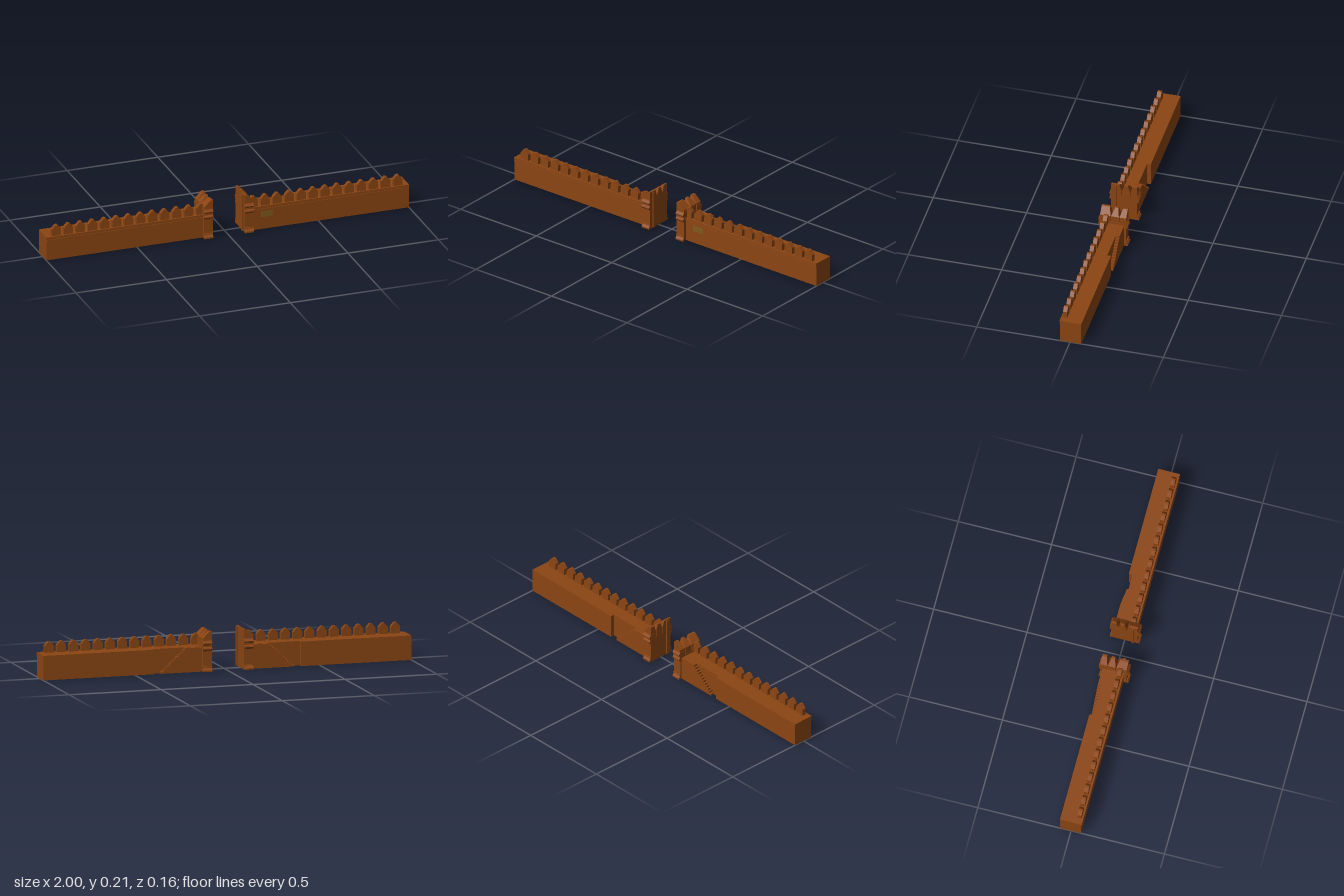
import * as THREE from 'three';

const brick = new THREE.MeshStandardMaterial({ color: 0x8b4513, flatShading: true, side: THREE.DoubleSide });
const bronze = new THREE.MeshStandardMaterial({ color: 0x7f5a1c });

function add(group, name, geometry, material = brick) {
  const mesh = new THREE.Mesh(geometry, material);
  mesh.name = name;
  group.add(mesh);
  return mesh;
}

// Box given by its limits; openBottom drops the face resting on the ground
function block(x0, x1, y0, y1, z0, z1, openBottom = false) {
  const g = new THREE.BoxGeometry(x1 - x0, y1 - y0, z1 - z0);
  g.translate((x0 + x1) / 2, (y0 + y1) / 2, (z0 + z1) / 2);
  if (openBottom) {
    const index = Array.from(g.index.array);
    index.splice(18, 6);
    g.setIndex(index);
    g.clearGroups();
  }
  return g;
}

function extrude(points, depth) {
  const shape = new THREE.Shape(points.map(([x, y]) => new THREE.Vector2(x, y)));
  return new THREE.ExtrudeGeometry(shape, { depth, bevelEnabled: false });
}

// Profile in (z, y) run along x
function alongX(points, x0, x1) {
  return extrude(points.map(([z, y]) => [-z, y]), x1 - x0).rotateY(Math.PI / 2).translate(x0, 0, 0);
}

// Pier battlement: straight below, tapered in z and sloped away from the gate above
function pierMerlon([z0, z1], [top0, top1]) {
  const g = new THREE.BoxGeometry(1, 1, 1, 1, 2, 1);
  const p = g.attributes.position;
  for (let i = 0; i < p.count; i++) {
    const top = p.getY(i) > 0.25, mid = Math.abs(p.getY(i)) < 0.25;
    const z = p.getZ(i) > 0 ? (top ? top1 : z1) : (top ? top0 : z0);
    const x = p.getX(i) > 0 ? (top ? 0.1 : 0.135) : 0.088;
    p.setXYZ(i, x, top ? 0.21 : mid ? 0.176 : 0.135, z);
  }
  return g;
}

function createHalf() {
  const half = new THREE.Group();

  // Hollow wall, thinner at the back where the stair is set in
  add(half, 'wall', block(0.4, 1, 0, 0.129, -0.06, 0.053, true));
  add(half, 'recessedWall', block(0.13, 0.4, 0, 0.129, -0.04, 0.053, true));
  add(half, 'corniceUpper', block(0.135, 1, 0.12, 0.13, 0.05, 0.057));
  add(half, 'corniceLower', block(0.135, 1, 0.108, 0.114, 0.05, 0.056));

  // Row of pointed battlements
  const merlon = extrude([[-0.025, 0.125], [0.025, 0.125], [0.025, 0.165],
    [0.006, 0.187], [-0.006, 0.187], [-0.025, 0.165]], 0.022);
  for (let i = 0; i < 13; i++) {
    add(half, 'wallMerlon', merlon).position.set(0.144 + i * 0.0664, 0, 0.025);
  }

  // Stair with a landing beside the gate
  const steps = 12, top = 0.128, run = 0.14 / steps;
  const outline = [[0.13, 0], [0.36, 0]];
  for (let i = 0; i < steps; i++) {
    const x = 0.36 - i * run, y = (i + 1) * top / steps;
    outline.push([x, y], [x - run, y]);
  }
  outline.push([0.13, top]);
  add(half, 'stair', extrude(outline, 0.02).translate(0, 0, -0.06));

  // Gate pier with moulded base and neck
  const side = [[0.08, 0], [0.08, 0.008], [0.072, 0.017], [0.07, 0.022], [0.075, 0.023], [0.075, 0.027],
    [0.07, 0.028], [0.07, 0.108], [0.073, 0.112], [0.08, 0.119], [0.078, 0.125], [0.071, 0.13],
    [0.071, 0.134], [0.076, 0.135], [0.076, 0.139]];
  const mirrored = side.map(([z, y]) => [-z, y]).reverse();
  add(half, 'pier', alongX([...side, ...mirrored], 0.088, 0.137));

  // Upper mouldings below the outer battlements
  for (const s of [1, -1]) {
    const inner = s > 0 ? 0.016 : 0.036;
    const cap = [[inner, 0.138], [0.072, 0.138], [0.078, 0.144], [0.08, 0.15], [0.074, 0.157], [0.07, 0.163], [inner, 0.163]];
    add(half, 'pierCap', alongX(cap.map(([z, y]) => [s * z, y]), 0.0875, 0.137));
  }
  add(half, 'pierMerlonFront', pierMerlon([0.014, 0.07], [0.025, 0.07]));
  add(half, 'pierMerlonMiddle', pierMerlon([-0.031, 0.011], [-0.02, -0.002]));
  add(half, 'pierMerlonBack', pierMerlon([-0.07, -0.034], [-0.07, -0.045]));

  // Narrow gate stop on the passage side
  add(half, 'gateStop', block(0.08, 0.09, 0.003, 0.205, 0.038, 0.05));
  return half;
}

export function createModel() {
  const model = new THREE.Group();
  model.name = 'gateWalls';
  const left = createHalf();
  left.name = 'leftWall';
  const right = createHalf();
  right.name = 'rightWall';
  right.scale.x = -1;
  model.add(left, right);

  // Plain plaque on the left wall only
  add(model, 'plaque', block(0.185, 0.25, 0.067, 0.098, 0.05, 0.055), bronze);
  return model;
}
